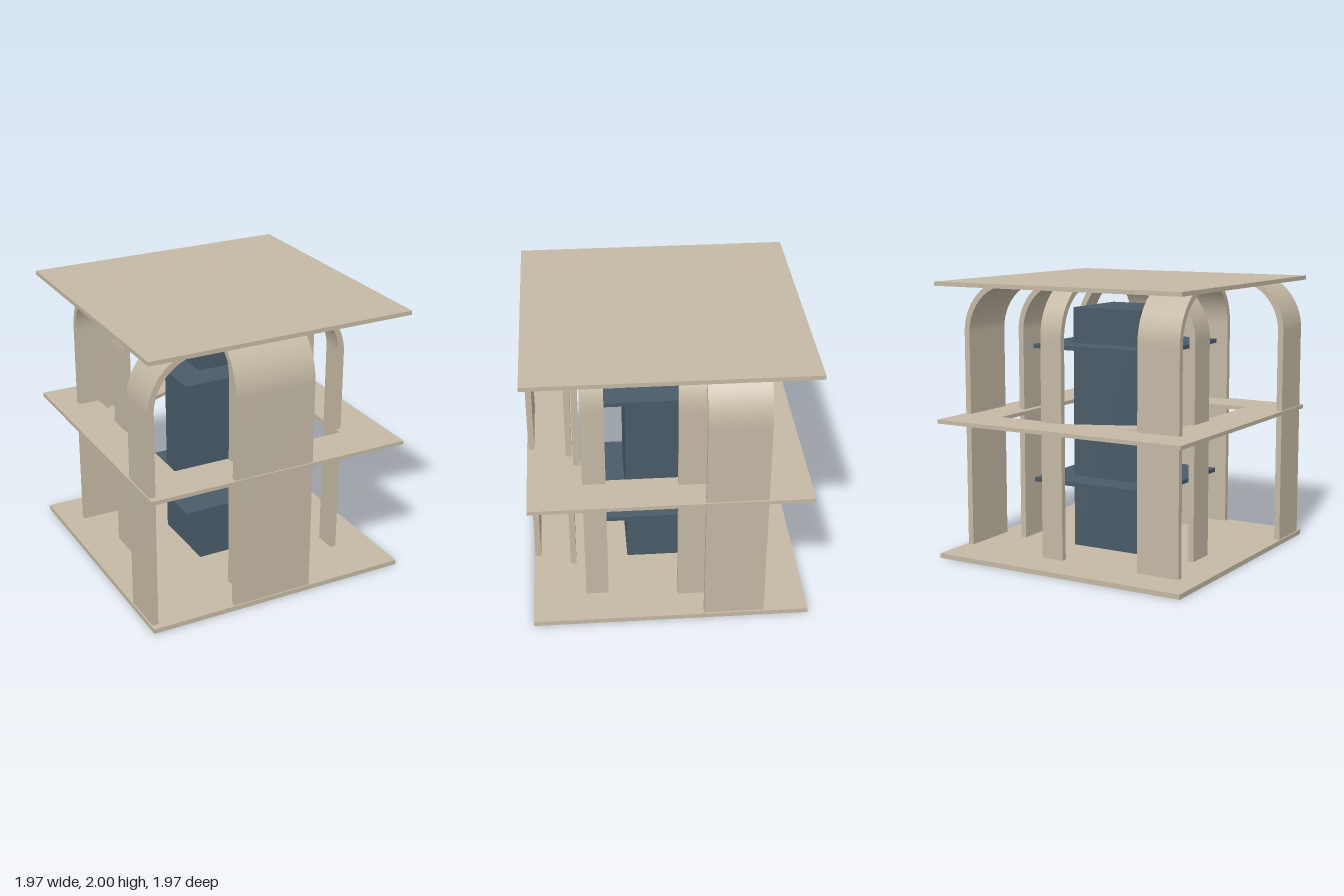
import * as THREE from 'three';
import { toCreasedNormals } from 'three/addons/utils/BufferGeometryUtils.js';

const SIZE = 1.97;

export function createModel() {
  const group = new THREE.Group();
  const stone = new THREE.MeshStandardMaterial({ color: 0xc4b9a5 });
  stone.name = 'sandstone';
  const slate = new THREE.MeshStandardMaterial({ color: 0x4a5b69 });
  slate.name = 'slate';

  const add = (name, geometry, material) => {
    const mesh = new THREE.Mesh(geometry, material);
    mesh.name = name;
    group.add(mesh);
    return mesh;
  };
  const slab = (name, width, y0, y1, material) =>
    add(name, new THREE.BoxGeometry(width, y1 - y0, width).translate(0, (y0 + y1) / 2, 0), material);

  // Floor and roof plates
  slab('floor', SIZE, 0, 0.035, stone);
  slab('roof', SIZE, 1.97, 2, stone);

  // Middle floor: square opening crossed by a slanted walkway
  const h = SIZE / 2;
  const polygon = (Type, pts) => new Type(pts.map(([x, z]) => new THREE.Vector2(x, z)));
  const plate = polygon(THREE.Shape, [[-h, -h], [h, -h], [h, h], [-h, h]]);
  plate.holes.push(
    polygon(THREE.Path, [[-0.66, 0.66], [0.66, 0.66], [0.66, -0.66], [0.06, -0.66], [-0.66, -0.35]]),
    polygon(THREE.Path, [[-0.34, -0.66], [-0.66, -0.66], [-0.66, -0.5]])
  );
  const middle = new THREE.ExtrudeGeometry(plate, { depth: 0.028, bevelEnabled: false });
  add('middleFloor', middle.rotateX(Math.PI / 2).translate(0, 1.018, 0), stone);

  // Central core with two ledges
  add('core', new THREE.BoxGeometry(0.56, 1.77, 0.56).translate(0, 0.915, 0), slate);
  slab('lowerLedge', 0.98, 0.53, 0.56, slate);
  slab('upperLedge', 0.98, 1.512, 1.542, slate);

  // Upright band that bends inwards under the roof; outer face at r,
  // spanning a..b sideways, turned about y by angle
  const band = (name, angle, r, a, b) => {
    const thick = 0.043, inner = 0.36, outer = inner + thick, springY = 1.61;
    const cx = r - outer;
    const end = Math.asin((1.985 - springY) / outer); // stops inside the roof plate
    const s = new THREE.Shape();
    s.moveTo(r - thick, 0.02);
    s.lineTo(r, 0.02);
    s.lineTo(r, springY);
    s.absarc(cx, springY, outer, 0, end, false);
    s.absarc(cx, springY, inner, Math.PI / 2, 0, true);
    s.closePath();
    const g = new THREE.ExtrudeGeometry(s, { depth: b - a, bevelEnabled: false, curveSegments: 20 });
    g.translate(0, 0, a);
    const mesh = add(name, toCreasedNormals(g, 0.4), stone);
    mesh.rotation.y = angle;
  };

  // Sideways span runs along -x (front), +z (left), -z (right), +x (back)
  const FRONT = -Math.PI / 2, LEFT = 0, RIGHT = Math.PI, BACK = Math.PI / 2;
  [
    ['frontOuterBand', FRONT, 0.975, -0.24, 0.36],
    ['frontInnerBand', FRONT, 0.71, -0.35, 0.25],
    ['leftOuterBand', LEFT, 0.972, -0.665, -0.235],
    ['leftMiddleBand', LEFT, 0.752, -0.3, -0.062],
    ['leftNarrowBand', LEFT, 0.7, 0.44, 0.603],
    ['rightOuterBand', RIGHT, 0.975, -0.935, -0.61],
    ['rightInnerBand', RIGHT, 0.703, 0.04, 0.26],
    ['backWideBand', BACK, 0.7, -0.82, -0.498],
    ['backNarrowBand', BACK, 0.7, 0.115, 0.285],
  ].forEach((args) => band(...args));

  return group;
}
